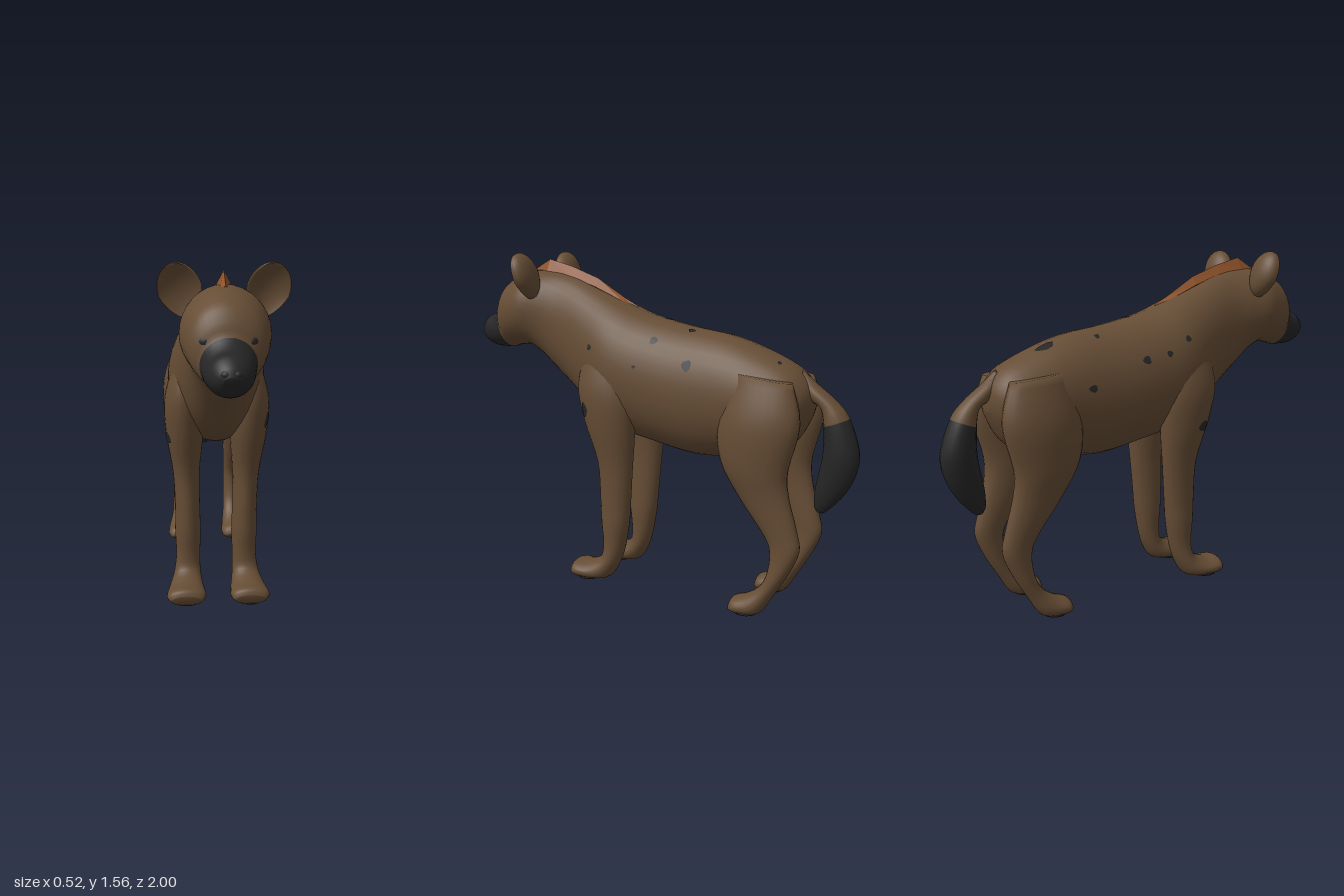
import * as THREE from 'three';

const fur = new THREE.MeshStandardMaterial({ color: 0x664d35 });
fur.name = 'brownFur';
const dark = new THREE.MeshStandardMaterial({ color: 0x262626 });
dark.name = 'blackFur';
const crest = new THREE.MeshStandardMaterial({ color: 0x8c5029 });
crest.name = 'rustMane';

// Smooth loft through rings given as [zA, yA, zB, yB, halfWidth, xCentre]:
// A and B are opposite ends of the ring in the side profile.
// Rings past section "split" use the second material.
function loft(name, sections, { segs = 24, sub = 4, split = Infinity, materials = fur, side = 1 } = {}) {
  const pos = [], index = [], n = sections.length;
  const rows = (n - 1) * sub;
  const at = (i, k) => sections[Math.min(n - 1, Math.max(0, i))][k] ?? 0;
  for (let r = 0; r <= rows; r++) {
    const i = Math.min(n - 2, Math.floor(r / sub)), t = r / sub - i;
    const v = [0, 1, 2, 3, 4, 5].map((k) => {
      const p0 = at(i - 1, k), p1 = at(i, k), p2 = at(i + 1, k), p3 = at(i + 2, k);
      const m1 = (p2 - p0) / 2, m2 = (p3 - p1) / 2, t2 = t * t, t3 = t2 * t;
      return (2 * t3 - 3 * t2 + 1) * p1 + (t3 - 2 * t2 + t) * m1 + (3 * t2 - 2 * t3) * p2 + (t3 - t2) * m2;
    });
    for (let j = 0; j < segs; j++) {
      const a = (j / segs) * Math.PI * 2, c = Math.cos(a) / 2;
      pos.push(side * v[5] + v[4] * Math.sin(a), (v[1] + v[3]) / 2 + c * (v[1] - v[3]), (v[0] + v[2]) / 2 + c * (v[0] - v[2]));
    }
  }
  // end caps share a centre point with their ring
  const cap = (s) => pos.push(side * (s[5] ?? 0), (s[1] + s[3]) / 2, (s[0] + s[2]) / 2);
  cap(sections[0]);
  cap(sections[n - 1]);
  const first = (rows + 1) * segs;
  for (let j = 0; j < segs; j++) index.push(first, j, (j + 1) % segs);
  let cut = 0;
  for (let r = 0; r < rows; r++) {
    if (r === split * sub) cut = index.length;
    for (let j = 0; j < segs; j++) {
      const a = r * segs + j, b = r * segs + (j + 1) % segs;
      index.push(a, a + segs, b, b, a + segs, b + segs);
    }
  }
  for (let j = 0; j < segs; j++) index.push(first + 1, rows * segs + (j + 1) % segs, rows * segs + j);
  const geo = new THREE.BufferGeometry();
  geo.setAttribute('position', new THREE.Float32BufferAttribute(pos, 3));
  geo.setIndex(index);
  geo.computeVertexNormals();
  if (cut) {
    geo.addGroup(0, cut, 0);
    geo.addGroup(cut, index.length - cut, 1);
  }
  const mesh = new THREE.Mesh(geo, materials);
  mesh.name = name;
  return mesh;
}

function ellipsoid(name, material, size, position) {
  const mesh = new THREE.Mesh(new THREE.SphereGeometry(1, 14, 10), material);
  mesh.name = name;
  mesh.scale.set(...size);
  mesh.position.set(...position);
  return mesh;
}

// Round ear: a shell hollowed at the front and narrower at its base
function ear(name, side) {
  const geo = new THREE.SphereGeometry(1, 24, 16);
  const p = geo.attributes.position;
  for (let i = 0; i < p.count; i++) {
    const x = p.getX(i), y = p.getY(i), z = p.getZ(i);
    const fill = Math.max(0, 1 - x * x - y * y);
    p.setXYZ(i, x * 0.088 * (1 - 0.25 * Math.max(0, -y)), y * 0.113,
      z > 0 ? 0.008 - 0.03 * fill : -0.058 * Math.sqrt(fill));
  }
  geo.rotateX(0.2);
  geo.rotateY(0.15);
  geo.rotateZ(-0.3);
  geo.translate(0.17, 1.455, 0.605);
  geo.computeVertexNormals();
  const mesh = new THREE.Mesh(geo, fur);
  mesh.scale.x = side;
  mesh.name = name;
  return mesh;
}

// Coat spot: a small fan laid on the surface along the given axis
function spot(targets, axis, u, v, ru, rv) {
  const dir = new THREE.Vector3(...axis), ray = new THREE.Raycaster();
  const onSkin = (a, b) => {
    const start = axis[0] ? new THREE.Vector3(-axis[0] * 2, b, a) : new THREE.Vector3(a, 3, b);
    ray.set(start, dir);
    const hit = ray.intersectObjects(targets, false)[0];
    return hit ? hit.point.addScaledVector(dir, -0.004) : null;
  };
  const pts = [onSkin(u, v)], n = 10;
  for (let k = 0; k < n; k++) {
    const a = (k / n) * Math.PI * 2, w = 1 + 0.15 * Math.sin(3 * a + u * 20);
    pts.push(onSkin(u + ru * w * Math.cos(a), v + rv * w * Math.sin(a)));
  }
  if (pts.includes(null)) return null;
  const index = [];
  for (let k = 0; k < n; k++) {
    const a = 1 + k, b = 1 + (k + 1) % n;
    if (axis[0] > 0) index.push(0, b, a);
    else if (axis[0] < 0) index.push(0, b, a);
    else index.push(0, b, a);
    if (axis[0] > 0) index.splice(-3, 3, 0, a, b);
  }
  const geo = new THREE.BufferGeometry().setFromPoints(pts);
  geo.setIndex(index);
  geo.computeVertexNormals();
  const mesh = new THREE.Mesh(geo, dark);
  mesh.name = 'coatSpot';
  return mesh;
}

export function createModel() {
  const model = new THREE.Group();
  model.name = 'hyena';

  // Trunk, neck and head in one skin, with a black muzzle
  const body = loft('body', [
    [-0.79, 1.0, -0.79, 0.92, 0.04], [-0.765, 1.05, -0.76, 0.85, 0.11], [-0.7, 1.11, -0.7, 0.76, 0.17],
    [-0.55, 1.175, -0.58, 0.7, 0.19], [-0.4, 1.22, -0.43, 0.68, 0.195], [-0.2, 1.25, -0.25, 0.665, 0.205],
    [0, 1.292, -0.03, 0.7, 0.215], [0.14, 1.345, 0.16, 0.74, 0.215], [0.28, 1.4, 0.3, 0.82, 0.18],
    [0.38, 1.44, 0.42, 0.92, 0.152], [0.47, 1.465, 0.52, 1.0, 0.143], [0.54, 1.475, 0.6, 1.07, 0.155],
    [0.63, 1.48, 0.67, 1.11, 0.178], [0.71, 1.465, 0.72, 1.11, 0.172], [0.8, 1.42, 0.76, 1.105, 0.155],
    [0.84, 1.36, 0.785, 1.1, 0.135], [0.858, 1.305, 0.81, 1.092, 0.108], [0.9, 1.265, 0.85, 1.09, 0.098],
    [0.945, 1.25, 0.91, 1.092, 0.085], [0.985, 1.215, 0.955, 1.11, 0.06], [1.0, 1.18, 0.975, 1.135, 0.03],
  ], { segs: 32, split: 16, materials: [fur, dark] });
  model.add(body);

  // Legs, paws and pads
  const foreleg = [
    [0.27, 1.12, 0.06, 1.1, 0.05, 0.14], [0.31, 0.97, 0.02, 0.92, 0.085, 0.15], [0.28, 0.8, 0.02, 0.76, 0.085, 0.145],
    [0.215, 0.6, 0.035, 0.58, 0.062, 0.138], [0.205, 0.42, 0.05, 0.4, 0.058, 0.133], [0.2, 0.3, 0.06, 0.3, 0.06, 0.132],
    [0.19, 0.2, 0.085, 0.17, 0.056, 0.132], [0.2, 0.13, 0.12, 0.08, 0.063, 0.137], [0.27, 0.095, 0.17, 0.02, 0.08, 0.143],
    [0.335, 0.09, 0.28, 0.008, 0.09, 0.146], [0.352, 0.06, 0.33, 0.012, 0.07, 0.146],
  ];
  const hindLeg = [
    [-0.48, 1.08, -0.74, 1.05, 0.05, 0.13], [-0.42, 0.88, -0.785, 0.88, 0.088, 0.147], [-0.43, 0.7, -0.74, 0.68, 0.08, 0.15],
    [-0.52, 0.54, -0.745, 0.57, 0.06, 0.145], [-0.64, 0.38, -0.785, 0.42, 0.045, 0.14], [-0.668, 0.3, -0.8, 0.33, 0.042, 0.14],
    [-0.655, 0.2, -0.755, 0.22, 0.045, 0.14], [-0.62, 0.14, -0.69, 0.11, 0.05, 0.14], [-0.565, 0.1, -0.63, 0.02, 0.065, 0.145],
    [-0.505, 0.075, -0.55, 0.006, 0.07, 0.146], [-0.487, 0.04, -0.51, 0.012, 0.05, 0.146],
  ];
  const skin = [body];
  for (const [label, side] of [['left', 1], ['right', -1]]) {
    const fore = loft(label + 'Foreleg', foreleg, { side });
    const hind = loft(label + 'HindLeg', hindLeg, { side });
    skin.push(fore, hind);
    model.add(fore, hind, ear(label + 'Ear', side));
    model.add(ellipsoid(label + 'ForePad', dark, [0.062, 0.012, 0.06], [side * 0.146, 0.012, 0.275]));
    model.add(ellipsoid(label + 'HindPad', dark, [0.05, 0.012, 0.055], [side * 0.146, 0.012, -0.56]));
    model.add(ellipsoid(label + 'Eye', dark, [0.028, 0.024, 0.025], [side * 0.085, 1.287, 0.82]));
    model.add(ellipsoid(label + 'Nostril', dark, [0.02, 0.016, 0.014], [side * 0.02, 1.19, 0.982]));
  }

  // Tail with a black brush
  model.add(loft('tail', [
    [-0.72, 0.98, -0.74, 1.09, 0.03], [-0.79, 0.955, -0.8, 1.035, 0.045], [-0.825, 0.93, -0.885, 0.97, 0.05],
    [-0.838, 0.86, -0.945, 0.9, 0.062], [-0.84, 0.75, -0.995, 0.76, 0.068], [-0.825, 0.66, -0.985, 0.66, 0.06],
    [-0.81, 0.58, -0.94, 0.57, 0.045], [-0.808, 0.51, -0.88, 0.5, 0.025], [-0.82, 0.48, -0.85, 0.475, 0.01],
  ], { segs: 16, split: 3, materials: [fur, dark] }));

  // Mane: a sharp faceted ridge half sunk in the neck
  const mane = loft('mane', [
    [0.08, 1.325, 0.08, 1.29, 0.012], [0.15, 1.36, 0.15, 1.33, 0.022], [0.3, 1.447, 0.3, 1.37, 0.028],
    [0.45, 1.5, 0.45, 1.41, 0.028], [0.58, 1.532, 0.58, 1.42, 0.03], [0.68, 1.478, 0.68, 1.45, 0.022],
  ], { segs: 4, sub: 1, materials: crest });
  mane.geometry = mane.geometry.toNonIndexed();
  mane.geometry.computeVertexNormals();
  model.add(mane);

  // Spots: [axis, u, v, radiusU, radiusV]; flanks use (z, y), the back uses (x, z)
  const fromLeft = [-1, 0, 0], fromRight = [1, 0, 0], fromTop = [0, -1, 0];
  model.updateMatrixWorld(true);
  for (const s of [
    [fromLeft, 0.225, 1.145, 0.012, 0.014], [fromLeft, -0.09, 1.19, 0.018, 0.016], [fromLeft, -0.02, 1.075, 0.009, 0.007],
    [fromLeft, -0.27, 1.095, 0.022, 0.025], [fromLeft, 0.24, 0.855, 0.02, 0.036],
    [fromRight, -0.1, 1.1, 0.02, 0.018], [fromRight, 0.02, 1.12, 0.015, 0.014], [fromRight, 0.13, 1.18, 0.015, 0.014],
    [fromRight, -0.38, 1.0, 0.02, 0.016], [fromRight, 0.2, 0.77, 0.03, 0.025],
    [fromTop, -0.05, -0.53, 0.022, 0.042], [fromTop, -0.09, -0.295, 0.011, 0.012], [fromTop, 0, -0.09, 0.018, 0.024],
    [fromTop, 0.06, -0.235, 0.013, 0.016], [fromTop, 0.065, -0.655, 0.01, 0.008],
  ]) {
    const patch = spot(skin, ...s);
    if (patch) model.add(patch);
  }
  return model;
}
